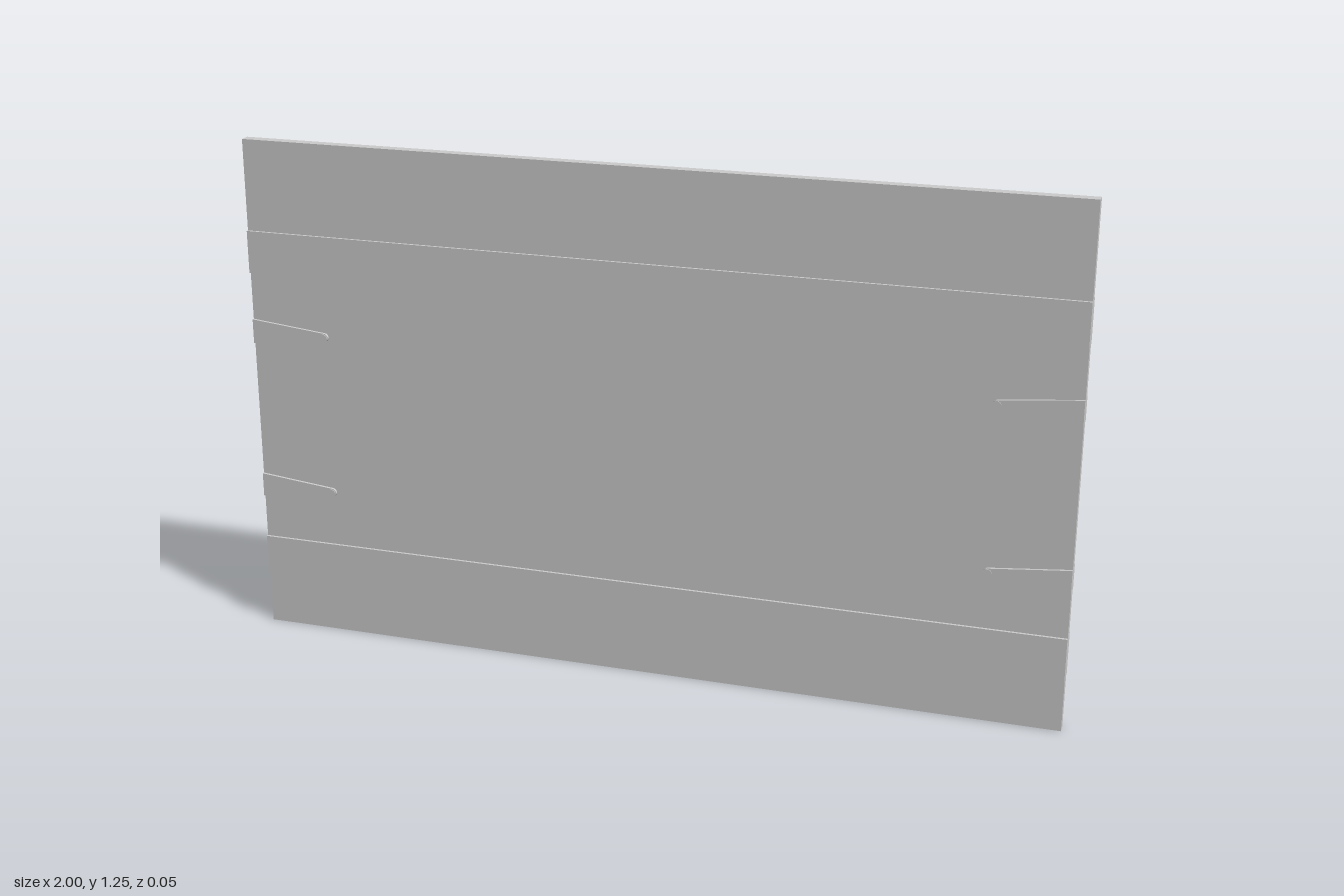
import * as THREE from 'three';

const HEIGHT = 1.247;
const FRONT = 0.015, BACK = -0.0115; // pane faces
const PROUD = 0.0215;                // outer face of rails and brackets

export function createModel() {
  const group = new THREE.Group();
  const material = new THREE.MeshStandardMaterial({ color: 0xcccccc, flatShading: true });
  const smooth = new THREE.MeshStandardMaterial({ color: 0xcccccc });

  const add = (name, geometry, x, y, z, mat = material) => {
    const mesh = new THREE.Mesh(geometry, mat);
    mesh.name = name;
    mesh.position.set(x, y, z);
    group.add(mesh);
    return mesh;
  };

  // Thin upright pane
  add('pane', new THREE.BoxGeometry(2, HEIGHT, FRONT - BACK), 0, HEIGHT / 2, (FRONT + BACK) / 2);

  // Full-width rails on both faces
  const layers = [
    { side: 'front', z0: FRONT, z1: PROUD },
    { side: 'back', z0: -PROUD, z1: BACK },
  ];
  for (const { side, z0, z1 } of layers) {
    for (const [level, y] of [['lower', 0.182], ['upper', 0.973]]) {
      add(`${level}${side}Rail`, new THREE.BoxGeometry(2, 0.104, z1 - z0), 0, y, (z0 + z1) / 2);
    }
  }

  // Tapered clamp outline: wide at the pane edge, rounded around the pin
  const clampShape = (s) => {
    const shape = new THREE.Shape();
    shape.moveTo(s, -0.03);
    shape.lineTo(s, 0.03);
    shape.lineTo(s * 0.812, 0.011);
    for (let i = 1; i <= 8; i++) {
      const a = Math.PI / 2 + (i / 8) * Math.PI;
      shape.lineTo(s * (0.812 + 0.011 * Math.cos(a)), 0.011 * Math.sin(a));
    }
    shape.closePath();
    return shape;
  };

  // Four clamps, each with plates on both faces and a pin through the pane
  for (const s of [-1, 1]) {
    const hand = s > 0 ? 'left' : 'right';
    for (const [level, y] of [['Lower', 0.373], ['Upper', 0.774]]) {
      for (const { side, z0, z1 } of layers) {
        const plate = new THREE.ExtrudeGeometry(clampShape(s), { depth: z1 - z0, bevelEnabled: false });
        add(`${hand}${level}${side}Clamp`, plate, 0, y, z0);
      }
      const pin = new THREE.CylinderGeometry(0.009, 0.009, 0.047, 20);
      pin.rotateX(Math.PI / 2);
      add(`${hand}${level}Pin`, pin, s * 0.812, y, 0, smooth);
    }
  }

  return group;
}
